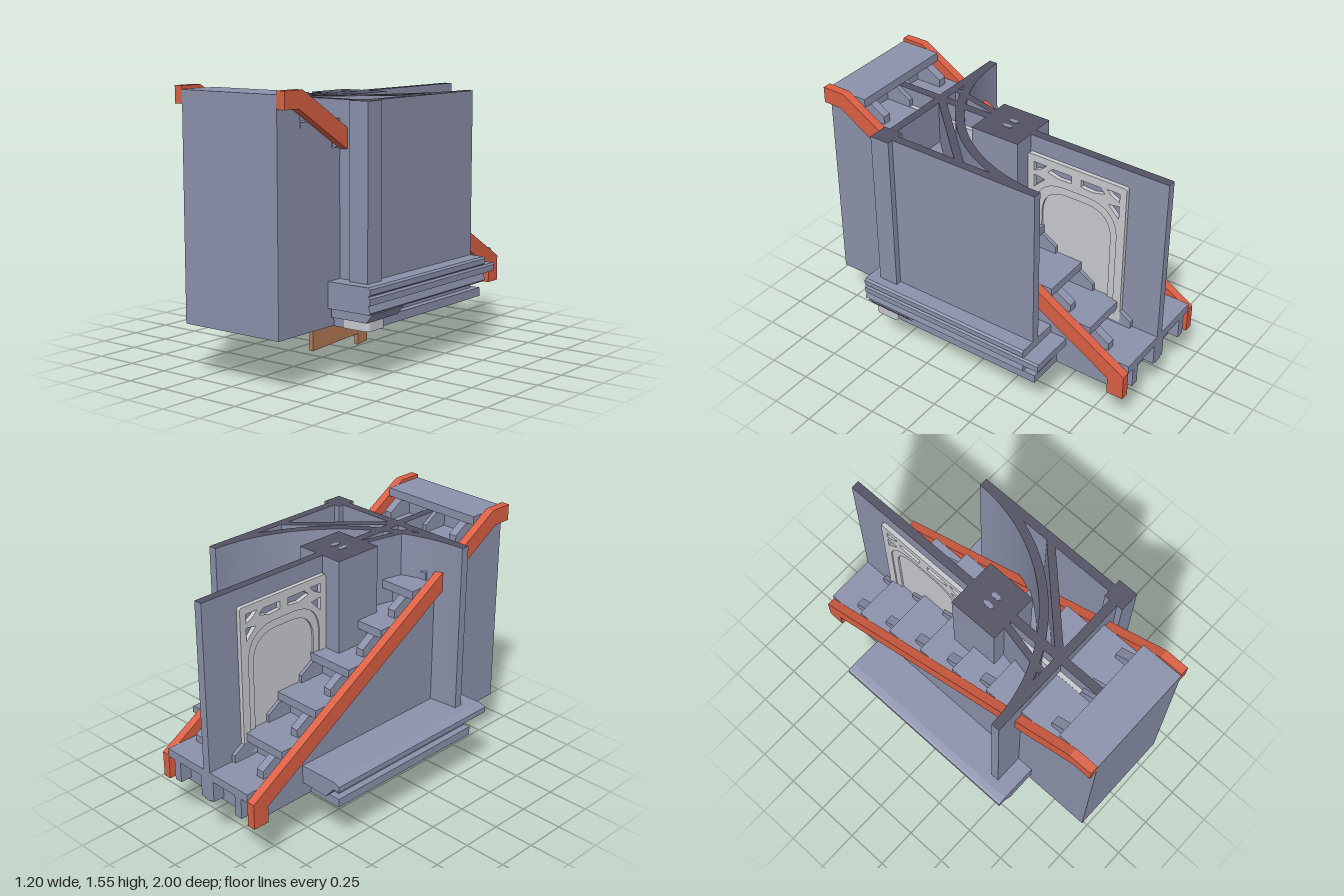
import * as THREE from 'three';

const mat = (name, color, extra = {}) => {
  const m = new THREE.MeshStandardMaterial({ color, ...extra });
  m.name = name;
  return m;
};

export function createModel() {
  const blue = mat('slate blue', 0x8c92ac);
  const dark = mat('section dark', 0x545364);
  const orange = mat('rail orange', 0xdc6044);
  const pale = mat('pale grey', 0xc8cbcf);
  const brown = mat('plank brown', 0xb57b55);
  const model = new THREE.Group();

  const add = (name, geo, material, parent = model) => {
    const m = new THREE.Mesh(geo, material);
    m.name = name;
    parent.add(m);
    return m;
  };
  const group = (name) => {
    const g = new THREE.Group();
    g.name = name;
    model.add(g);
    return g;
  };
  // box given by its limits
  const box = (name, x0, x1, y0, y1, z0, z1, material, parent) => {
    const g = new THREE.BoxGeometry(x1 - x0, y1 - y0, z1 - z0);
    g.translate((x0 + x1) / 2, (y0 + y1) / 2, (z0 + z1) / 2);
    return add(name, g, material, parent);
  };
  const poly = (pts) => new THREE.Shape(pts.map(([a, b]) => new THREE.Vector2(a, b)));
  const extrude = (shape, depth, curveSegments = 24) =>
    new THREE.ExtrudeGeometry(shape, { depth, bevelEnabled: false, curveSegments });
  // outline in (z, y), thickness along x
  const sidePlate = (name, shape, x0, x1, material, parent) => {
    const g = extrude(shape, x1 - x0);
    g.rotateY(-Math.PI / 2);
    g.translate(x1, 0, 0);
    return add(name, g, material, parent);
  };
  // plan outline in (x, z), dark cut face on top
  const FLOOR = 0.29, TOP = 1.485;
  const walls = group('cutWalls');
  const wall = (name, shape) => {
    const g = extrude(shape, TOP - FLOOR - 0.01, 48);
    g.rotateX(Math.PI / 2);
    g.translate(0, TOP, 0);
    return add(name, g, [dark, blue], walls);
  };
  const rect = (x0, x1, z0, z1) => poly([[x0, z0], [x1, z0], [x1, z1], [x0, z1]]);
  const strip = (ax, az, bx, bz, w) => {
    const l = Math.hypot(bx - ax, bz - az);
    const nx = (-(bz - az) / l) * w / 2, nz = ((bx - ax) / l) * w / 2;
    return poly([[ax + nx, az + nz], [bx + nx, bz + nz], [bx - nx, bz - nz], [ax - nx, az - nz]]);
  };

  // walls
  wall('spineWall', rect(-0.025, 0.025, -1, 0.75));
  wall('column', rect(-0.15, 0.15, -0.15, 0.15));
  wall('sideWall', rect(0.45, 0.5, -0.5, 0.5));
  wall('frontWall', rect(-0.5, 0.5, 0.45, 0.5));
  wall('cornerPilaster', rect(0.415, 0.535, 0.415, 0.535));
  wall('diagonalWall', strip(0.02, 0.45, 0.46, 0, 0.045));
  wall('slantedWall', strip(-0.12, 0.45, -0.05, 0.14, 0.04));
  const arc = new THREE.Shape();
  arc.absarc(-0.5, -0.5, 1.0, 0, Math.PI / 2, false);
  arc.absarc(-0.5, -0.5, 0.95, Math.PI / 2, 0, true);
  wall('curvedWall', arc);
  for (const s of [-1, 1]) {
    const h = new THREE.CylinderGeometry(0.03, 0.03, 0.004, 6);
    h.scale(0.5, 1, 1.1);
    h.translate(s * 0.03, TOP + 0.001, 0);
    add('columnSocket', h, blue, walls);
  }

  // stairs: treads, solid risers and gussets
  const stairs = group('stairs');
  for (let i = 0; i < 8; i++) {
    const z0 = -1 + 0.25 * i, top = 0.485 + 0.15 * i;
    box('tread', -0.325, 0.325, top - 0.05, top, z0, Math.min(z0 + 0.32, 1), blue, stairs);
    box('riser', -0.324, 0.324, FLOOR, top - 0.05, z0 + 0.07, i === 7 ? 1 : z0 + 0.33, blue, stairs);
    const yb = i ? top - 0.15 : FLOOR + 0.02;
    const reach = i ? z0 - 0.09 : -1;
    const gusset = poly([[z0 + 0.08, yb], [z0 + 0.08, top - 0.05], [z0, top - 0.05],
      [reach, yb + 0.045], [reach, yb]]);
    for (const [x, w] of [[-0.25, 0.025], [0, 0.05], [0.25, 0.025]])
      sidePlate('gusset', gusset, x - w, x + w, blue, stairs);
  }

  // sloping side rails
  const rail = poly([[1, 1.555], [0.86, 1.555], [-1, 0.442], [-1, 0.29], [-0.9, 0.29],
    [-0.9, 0.39], [0.89, 1.46], [1, 1.46]]);
  sidePlate('leftRail', rail, 0.325, 0.375, orange);
  sidePlate('rightRail', rail, -0.375, -0.325, orange);

  // base slab and stepped ledges
  const base = group('base');
  box('floorSlab', -0.54, 0.54, FLOOR, 0.34, -0.54, 0.54, blue, base);
  box('plinth', -0.5, 0.5, 0.34, 0.44, -0.5, 0.54, blue, base);
  const ledge = (name, pts, z0, z1) => {
    const g = extrude(poly(pts), z1 - z0);
    g.translate(0, 0, z0);
    add(name, g, blue, base);
  };
  ledge('rightLedge', [[-0.3, 0.38], [-0.5, 0.37], [-0.56, 0.44], [-0.6, 0.44], [-0.6, 0.472],
    [-0.585, 0.482], [-0.55, 0.487], [-0.3, 0.485]], -0.6, 0.6);
  ledge('leftLedge', [[0.3, 0.44], [0.6, 0.44], [0.6, 0.475], [0.59, 0.485], [0.3, 0.485]], -0.6, 0.6);
  ledge('leftUpperTier', [[0.3, 0.485], [0.585, 0.485], [0.6, 0.495], [0.6, 0.525],
    [0.588, 0.535], [0.3, 0.535]], -0.5, 0.6);
  ledge('leftLowerTier', [[0.3, 0.39], [0.59, 0.39], [0.6, 0.4], [0.59, 0.44], [0.3, 0.44]], -0.5, 0.6);
  ledge('cornerBlock', [[0.33, 0.34], [0.56, 0.34], [0.6, 0.39], [0.33, 0.39]], 0.3, 0.58);
  ledge('cornerFoot', [[0.33, 0.29], [0.4, 0.29], [0.4, 0.355], [0.33, 0.355]], 0.3, 0.56);

  // pale round-cornered foot under the corner
  const foot = new THREE.Shape();
  foot.moveTo(0.4, 0.41);
  foot.lineTo(0.53, 0.41);
  foot.quadraticCurveTo(0.56, 0.41, 0.56, 0.44);
  foot.lineTo(0.56, 0.53);
  foot.quadraticCurveTo(0.56, 0.56, 0.53, 0.56);
  foot.lineTo(0.4, 0.56);
  const footGeo = extrude(foot, 0.068, 8);
  footGeo.rotateX(Math.PI / 2);
  footGeo.translate(0, 0.356, 0);
  add('paleFoot', footGeo, pale, base);

  // pale arched frame, through the spine wall
  const frames = group('archFrame');
  const arch = (Cls, z0, z1, y0, y1, r) => {
    const s = new Cls();
    s.moveTo(z0, y0);
    s.lineTo(z1, y0);
    s.lineTo(z1, y1 - r);
    s.quadraticCurveTo(z1, y1, z1 - r, y1);
    s.lineTo(z0 + r, y1);
    s.quadraticCurveTo(z0, y1, z0, y1 - r);
    s.closePath();
    return s;
  };
  const cz = -0.46;
  const panel = arch(THREE.Shape, -0.77, -0.15, 0.5, 1.385, 0.015);
  panel.holes.push(arch(THREE.Path, cz - 0.26, cz + 0.26, 0.55, 1.24, 0.2));
  for (const s of [-1, 1]) {
    const hole = (pts) => panel.holes.push(new THREE.Path(
      pts.map(([a, b]) => new THREE.Vector2(cz + s * a, b))));
    hole([[0.27, 1.34], [0.19, 1.34], [0.22, 1.31], [0.27, 1.285]]);
    hole([[0.15, 1.335], [0.03, 1.335], [0.03, 1.29], [0.11, 1.285], [0.18, 1.305]]);
    hole([[0.27, 1.26], [0.2, 1.25], [0.24, 1.21], [0.27, 1.18]]);
  }
  sidePlate('outerFrame', panel, -0.05, 0.05, pale, frames);
  const inner = arch(THREE.Shape, cz - 0.265, cz + 0.265, 0.5, 1.245, 0.2);
  inner.holes.push(arch(THREE.Path, cz - 0.22, cz + 0.22, 0.52, 1.19, 0.17));
  sidePlate('innerArch', inner, -0.042, 0.042, pale, frames);
  sidePlate('archPanel', arch(THREE.Shape, cz - 0.23, cz + 0.23, 0.5, 1.2, 0.17), -0.03, 0.03, pale, frames);
  box('upperFrame', -0.05, 0.05, 1.2, 1.387, 0.15, 0.67, pale, frames);

  // planks hanging below the floor
  const planks = group('planks');
  sidePlate('upperPlank', poly([[0.315, 0.295], [0.315, 0.235], [-0.1, 0.2], [-0.31, 0.22],
    [-0.31, 0.295]]), -0.025, -0.002, brown, planks);
  sidePlate('lowerPlank', poly([[0.315, 0.175], [0.315, 0.045], [-0.1, 0.066], [-0.1, 0.002],
    [-0.19, 0.01], [-0.19, 0.07], [-0.31, 0.078], [-0.3, 0.24], [-0.05, 0.215]]), -0.04, -0.015, brown, planks);
  box('pegBlock', -0.052, -0.04, 0.055, 0.08, -0.17, -0.12, blue, planks);
  sidePlate('plankToe', poly([[-0.1, 0], [-0.1, 0.03], [-0.19, 0.03], [-0.19, 0.008]]), -0.04, -0.015, brown, planks);

  // bent pipe stub
  const pipe = group('pipe');
  const path = new THREE.CatmullRomCurve3([
    new THREE.Vector3(0, 0.3, 0), new THREE.Vector3(0, 0.24, 0),
    new THREE.Vector3(0, 0.2, -0.025), new THREE.Vector3(0, 0.186, -0.1)]);
  add('pipeBend', new THREE.TubeGeometry(path, 16, 0.048, 16), blue, pipe);
  const cap = new THREE.CircleGeometry(0.048, 16);
  cap.rotateY(Math.PI);
  cap.translate(0, 0.186, -0.1);
  add('pipeEnd', cap, blue, pipe);

  return model;
}
